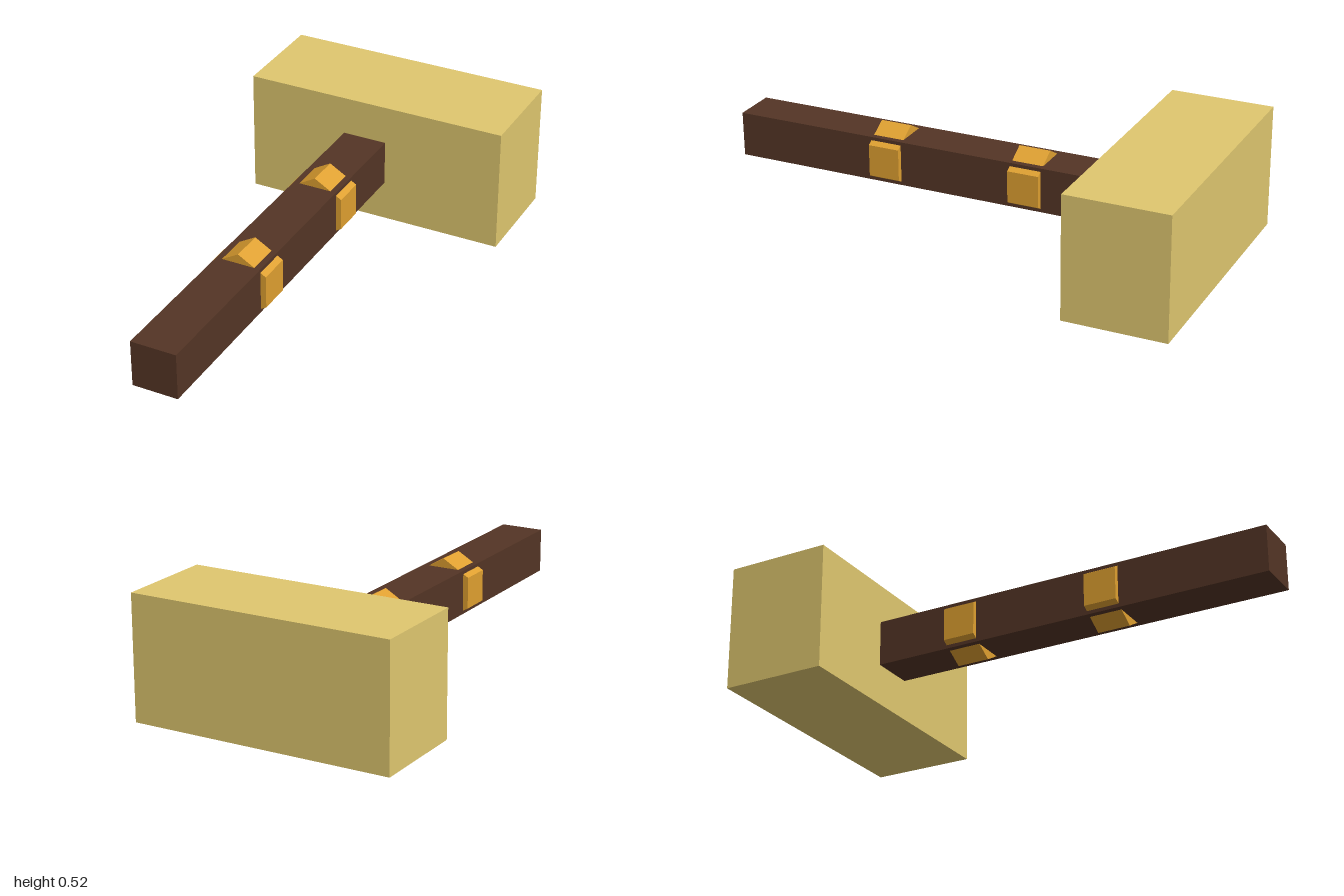
import * as THREE from 'three';

export function createModel() {
  const model = new THREE.Group();
  model.name = 'hammer';

  const material = (name, color) => {
    const m = new THREE.MeshStandardMaterial({ color });
    m.name = name;
    return m;
  };
  const paleStone = material('pale gold', 0xdfc76f);
  const darkWood = material('dark wood', 0x543525);
  const brass = material('brass', 0xdfa030);
  brass.flatShading = true;

  const add = (name, geometry, mat, x, y, z) => {
    const mesh = new THREE.Mesh(geometry, mat);
    mesh.name = name;
    mesh.position.set(x, y, z);
    model.add(mesh);
  };

  // Handle runs along local x, the head block sits across its end
  const axisY = 0.265, axisZ = -0.023;
  add('head', new THREE.BoxGeometry(0.435, 0.523, 1.125), paleStone, 0.611, 0.2615, 0.018);
  add('handle', new THREE.BoxGeometry(1.7, 0.19, 0.188), darkWood, -0.446, axisY, axisZ);

  // Hexagonal bands with a ridge on top, their corners and sides standing out of the square handle
  const band = new THREE.CylinderGeometry(0.135, 0.135, 0.135, 6, 1, false, Math.PI / 6);
  band.rotateZ(-Math.PI / 2);
  [['outerBand', -0.613], ['innerBand', 0.012]].forEach(([name, x]) =>
    add(name, band, brass, x, axisY, axisZ));

  // The whole hammer lies diagonally
  model.rotation.y = Math.PI / 4;
  const root = new THREE.Group();
  root.name = 'hammerRoot';
  root.add(model);
  return root;
}
